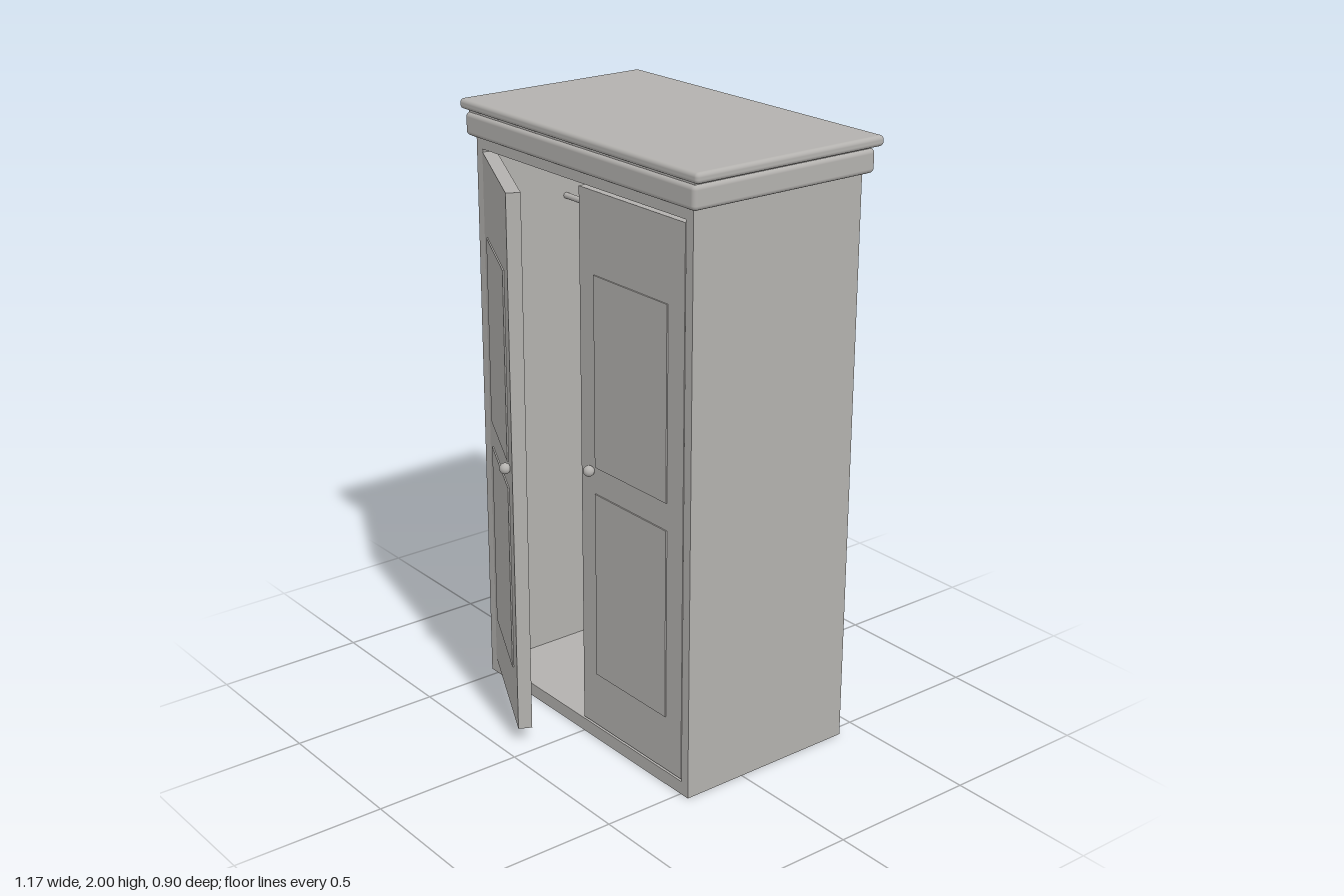
import * as THREE from 'three';
import { RoundedBoxGeometry } from 'three/addons/geometries/RoundedBoxGeometry.js';

export function createModel() {
  const model = new THREE.Group();
  model.name = 'wardrobe';
  const paint = new THREE.MeshStandardMaterial({ color: 0xb3b1ae });
  paint.name = 'warm grey paint';
  const wood = new THREE.MeshStandardMaterial({ color: 0x7d6f61 });
  wood.name = 'brown backing';

  const add = (name, geometry, material, parent = model) => {
    const mesh = new THREE.Mesh(geometry, material);
    mesh.name = name;
    parent.add(mesh);
    return mesh;
  };
  // Box given by its limits on each axis; a radius rounds its edges
  const box = (name, [x0, x1], [y0, y1], [z0, z1], material = paint, parent = model, radius = 0) => {
    const size = [x1 - x0, y1 - y0, z1 - z0];
    const geometry = radius
      ? new RoundedBoxGeometry(...size, 3, radius)
      : new THREE.BoxGeometry(...size);
    const mesh = add(name, geometry, material, parent);
    mesh.position.set((x0 + x1) / 2, (y0 + y1) / 2, (z0 + z1) / 2);
    return mesh;
  };

  // Carcass
  const depth = [-0.42, 0.22];
  box('rightSide', [-0.535, -0.503], [0, 1.885], depth);
  box('leftSide', [0.503, 0.535], [0, 1.885], depth);
  box('floor', [-0.503, 0.503], [0, 0.045], depth);
  box('ceiling', [-0.503, 0.503], [1.848, 1.885], depth);
  box('backPanel', [-0.503, 0.503], [0.045, 1.848], [-0.412, -0.4], wood);

  // Stepped crown
  box('lowerCrown', [-0.565, 0.565], [1.885, 1.96], [-0.445, 0.243], paint, model, 0.015);
  box('crownNeck', [-0.555, 0.555], [1.95, 1.98], [-0.435, 0.233]);
  box('upperCrown', [-0.585, 0.585], [1.967, 2], [-0.46, 0.25], paint, model, 0.013);

  // Hanging rail
  const rail = add('hangingRail', new THREE.CylinderGeometry(0.01, 0.01, 1.006, 16), paint);
  rail.rotation.z = Math.PI / 2;
  rail.position.set(0, 1.645, -0.1);

  // Doors pivot about the hinge; side is the direction from hinge to free edge
  const addDoor = (name, side, angle) => {
    const door = new THREE.Group();
    door.name = name;
    door.position.set(-side * 0.5, 0, 0.1975);
    door.rotation.y = -side * angle;
    model.add(door);
    const span = (a, b) => (side > 0 ? [a, b] : [-b, -a]);
    box(name + 'Leaf', span(0, 0.499), [0.053, 1.838], [-0.0225, 0.0225], paint, door);
    for (const [label, y] of [['UpperPanel', [0.96, 1.58]], ['LowerPanel', [0.24, 0.87]]]) {
      box(name + label, span(0.075, 0.425), y, [0.02, 0.027], paint, door);
    }
    const knob = add(name + 'Knob', new THREE.SphereGeometry(0.018, 20, 14), paint, door);
    knob.position.set(side * 0.443, 0.945, 0.037);
  };
  addDoor('openDoor', 1, THREE.MathUtils.degToRad(26.3));
  addDoor('closedDoor', -1, 0);

  return model;
}
